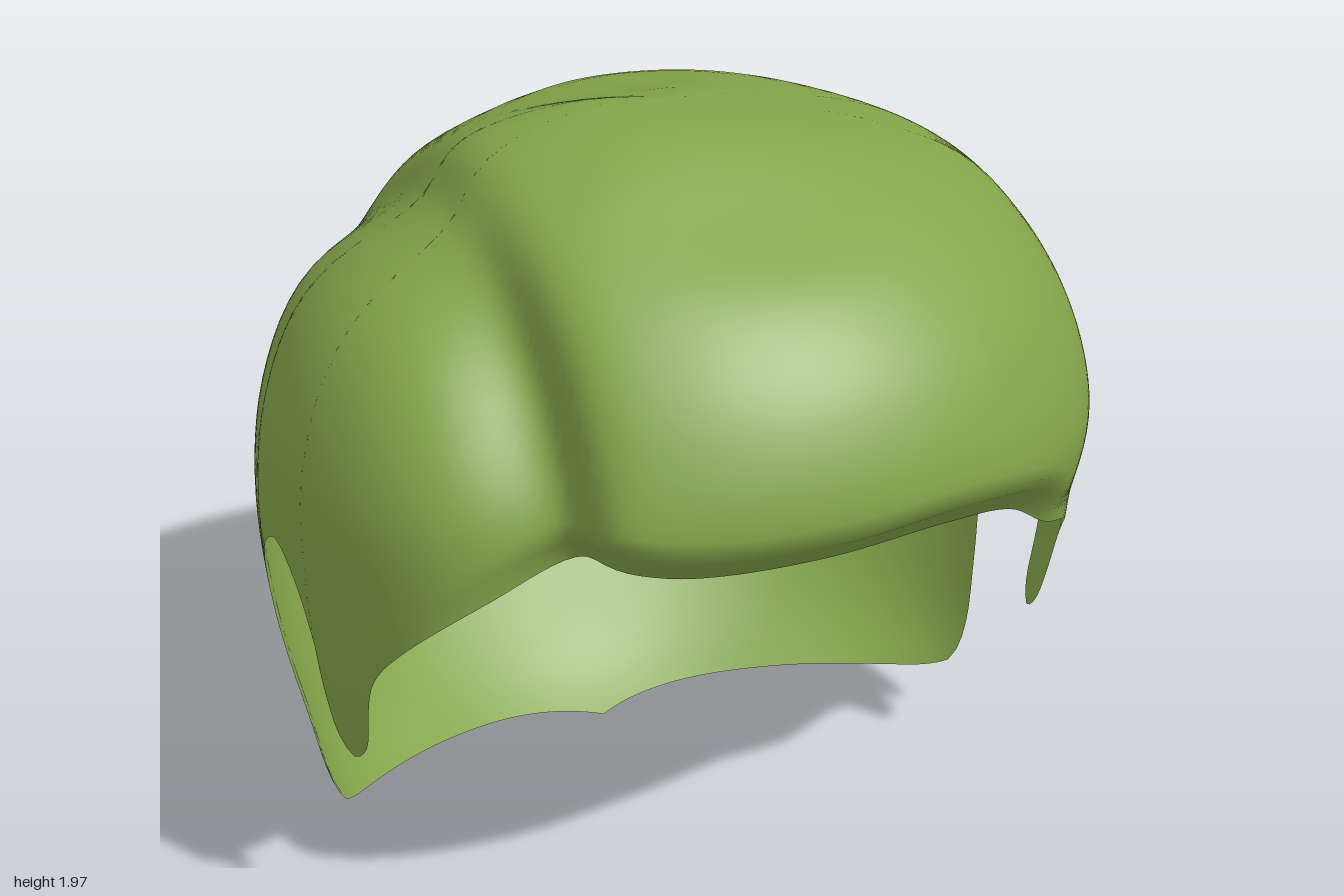
import * as THREE from 'three';

const rad = THREE.MathUtils.degToRad;
const smooth = THREE.MathUtils.smoothstep;

// Radius of the hair mass about its middle, one profile every 45 degrees
// (front, front left, left, ... front right), each from crown down in 15 degree steps.
const PROFILES = [
  [0.96, 0.99, 0.99, 1.04, 1.05, 1.0, 0.82, 0.82, 0.9, 1.0, 1.0, 1.0],
  [0.96, 0.97, 1.0, 1.04, 1.06, 1.04, 0.95, 0.95, 1.0, 1.1, 1.1, 1.1],
  [0.96, 0.945, 0.98, 1.03, 1.03, 1.005, 0.985, 1.005, 1.07, 1.19, 1.18, 1.18],
  [0.96, 0.94, 0.97, 0.99, 1.0, 1.005, 1.01, 1.02, 1.05, 1.08, 1.1, 1.12],
  [0.96, 0.93, 0.965, 0.94, 0.945, 0.965, 0.965, 0.995, 1.015, 1.03, 1.08, 1.1],
  [0.96, 0.95, 0.97, 0.98, 0.99, 1.0, 1.01, 1.02, 1.05, 1.08, 1.1, 1.12],
  [0.96, 1.01, 1.04, 1.03, 1.04, 1.02, 1.0, 1.015, 1.07, 1.19, 1.18, 1.18],
  [0.96, 1.01, 1.03, 1.04, 1.04, 1.03, 0.97, 0.96, 1.0, 1.1, 1.1, 1.1],
];

// Hairline as [angle from front, elevation]: sideburn, ear arch and nape
const SIDE_RIM = [
  [67.6, -11.6], [73, -25], [77.5, -28], [80.2, -25.5], [80.5, -12], [84, -3], [90, 0.6],
  [96.5, -3], [100, -9], [100.3, -22.5], [100.6, -43], [103, -45], [112, -49], [135, -56.5],
];
const LEFT_FRINGE = [[19, 12.5], [36.6, 8], [49, 0], [59.5, -4.6]];
const RIGHT_FRINGE = [[20, 12], [38, 12.7], [49, 6], [61, -4]];

function cubic(a, b, c, d, t) {
  return b + 0.5 * t * (c - a + t * (2 * a - 5 * b + 4 * c - d + t * (3 * (b - c) + d - a)));
}

function profileRadius(profile, elevation) {
  const s = THREE.MathUtils.clamp((90 - elevation) / 15, 0, 10.999);
  const i = Math.floor(s);
  const at = (k) => profile[THREE.MathUtils.clamp(k, 0, 11)];
  return cubic(at(i - 1), at(i), at(i + 1), at(i + 2), s - i);
}

function hairRadius(angle, elevation) {
  const s = (angle + 360) / 45;
  const i = Math.floor(s);
  const at = (k) => profileRadius(PROFILES[(k + 8) % 8], elevation);
  return cubic(at(i - 1), at(i), at(i + 1), at(i + 2), s - i);
}

function hairPoint(angle, elevation, t) {
  let r = hairRadius(angle, elevation);
  const side = Math.abs(angle);

  // Lower edge behind the ear leans forward
  const lean = 5 * smooth(-elevation, 15, 44) * smooth(side, 85, 98) * (1 - smooth(side, 110, 175));
  const a = rad(angle - Math.sign(angle) * lean);
  const e = rad(elevation);
  const dir = new THREE.Vector3(Math.sin(a) * Math.cos(e), Math.sin(e), Math.cos(a) * Math.cos(e));

  // Parting: a furrow along the right side, deepest at the front
  const x = dir.x * r + 0.62;
  const z = dir.z * r;
  const width = x > 0 ? 0.085 : 0.15;
  const depth = (0.06 + 0.08 * smooth(z, 0.1, 0.65)) * smooth(z, -0.85, -0.3);
  r -= depth * Math.exp(-((x / width) ** 2)) * smooth(elevation, -5, 14);

  // Fringe rolls inward at its edge
  r -= 0.09 * smooth(t, 0.93, 1) * (1 - smooth(side, 30, 60));

  return dir.multiplyScalar(r).add(new THREE.Vector3(0, 1, 0));
}

function hairGeometry(columns, rows) {
  const left = [...LEFT_FRINGE, ...SIDE_RIM];
  const right = [...RIGHT_FRINGE, ...SIDE_RIM].map(([a, e]) => [-a, e]).reverse();
  const rimPoints = [[-180, -65], ...right, [0, 12.5], ...left, [180, -65]];
  const rim = new THREE.CatmullRomCurve3(
    rimPoints.map(([a, e]) => new THREE.Vector3(a, e, 0)), false, 'centripetal');
  rim.arcLengthDivisions = 2000;

  // Columns run from the crown to the hairline
  const positions = [];
  const index = [];
  const edge = rim.getSpacedPoints(columns);
  for (let i = 0; i < columns; i++) {
    for (let j = 0; j <= rows; j++) {
      const t = j / rows;
      const p = hairPoint(edge[i].x, 90 + (edge[i].y - 90) * t, t);
      positions.push(p.x, Math.max(p.y, 0), p.z);
      if (j === rows) continue;
      const a = i * (rows + 1) + j;
      const b = ((i + 1) % columns) * (rows + 1) + j;
      if (j > 0) index.push(a, a + 1, b);
      index.push(b, a + 1, b + 1);
    }
  }
  const geometry = new THREE.BufferGeometry();
  geometry.setAttribute('position', new THREE.Float32BufferAttribute(positions, 3));
  geometry.setIndex(index);
  geometry.computeVertexNormals();
  return geometry;
}

export function createModel() {
  const group = new THREE.Group();
  group.name = 'hairpiece';
  const material = new THREE.MeshStandardMaterial({ color: 0x84a44a, side: THREE.DoubleSide });
  const hair = new THREE.Mesh(hairGeometry(280, 48), material);
  hair.name = 'hair';
  group.add(hair);
  return group;
}
